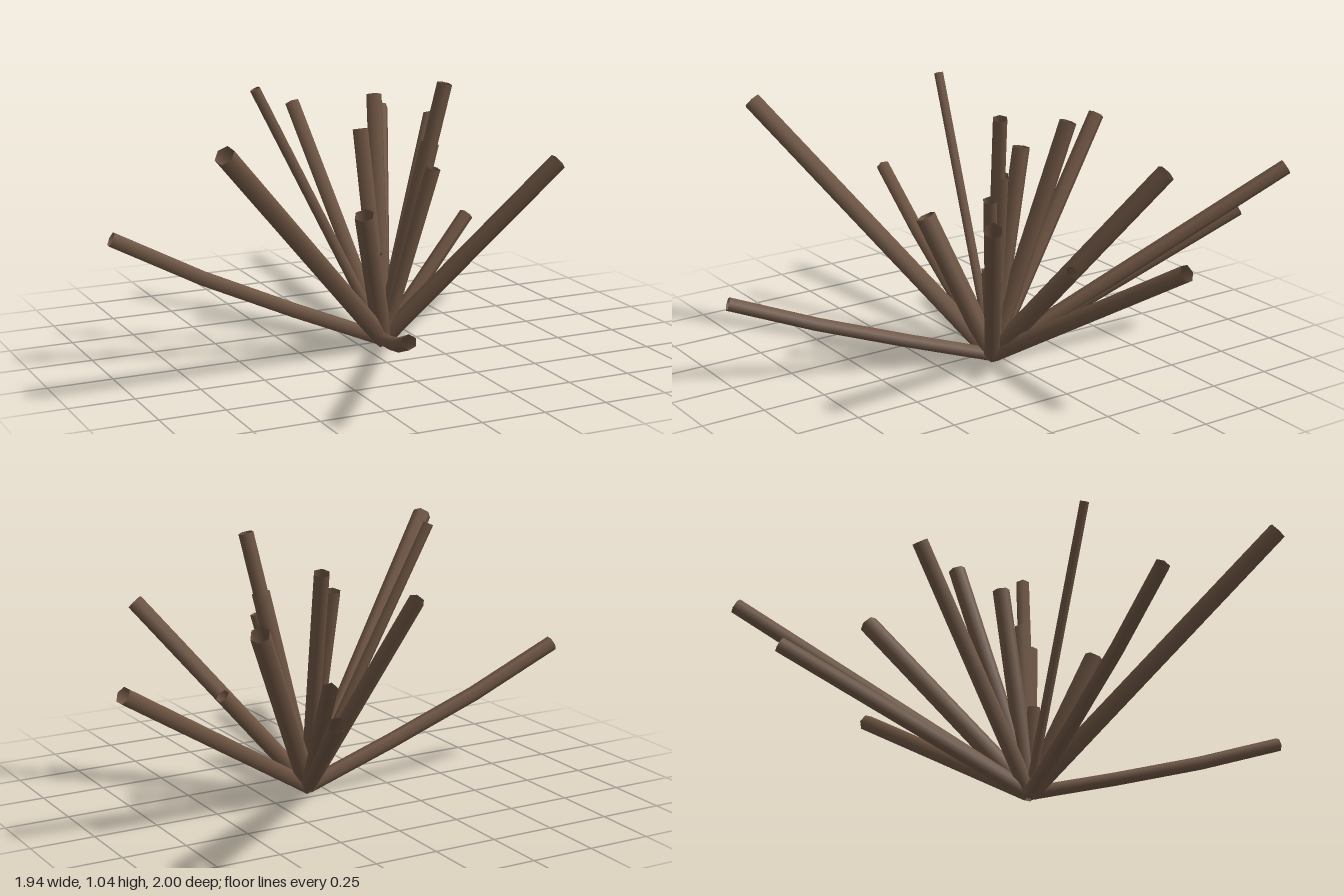
import * as THREE from 'three';

// Twigs: [radius, tip, optional bend point]
const TWIGS = [
  [0.03, [-0.96, 0.5, -0.1], [-0.55, 0.29, -0.04]],
  [0.038, [-0.78, 0.93, 0.6]],
  [0.02, [-0.41, 1.03, -0.03]],
  [0.031, [-0.045, 0.87, -0.53]],
  [0.033, [0.055, 0.83, -0.1]],
  [0.033, [0.175, 0.935, -0.23]],
  [0.029, [0.285, 1.03, 0.155]],
  [0.035, [0.24, 0.8, 0.125]],
  [0.028, [0.235, 0.71, 0.165]],
  [0.038, [0.53, 0.79, -0.42]],
  [0.034, [0.63, 0.75, 0.42]],
  [0.028, [0.485, 0.465, -0.03]],
  [0.034, [0.95, 0.57, -0.18]],
  [0.039, [-0.09, 0.575, 0.24]],
  [0.027, [-0.28, 0.32, 0.99], [-0.14, 0.185, 0.61]],
  [0.027, [0.05, 0.365, 0.05]],
  [0.03, [0.57, 0.73, -0.98]],
  [0.03, [0.46, 0.56, -0.84]],
];

export function createModel() {
  const group = new THREE.Group();
  group.name = 'twigCluster';
  const bark = new THREE.MeshStandardMaterial({ color: 0x6e5543, side: THREE.DoubleSide });
  bark.name = 'bark brown';
  const root = new THREE.Vector3(0.08, 0.025, 0.05);

  // Every twig is an open six-sided tube growing from the shared root
  TWIGS.forEach(([radius, tip, bend], i) => {
    const end = new THREE.Vector3(...tip);
    const middle = bend ? new THREE.Vector3(...bend) : root.clone().lerp(end, 0.5);
    const path = new THREE.CatmullRomCurve3([root, middle, end]);
    const twig = new THREE.Mesh(new THREE.TubeGeometry(path, bend ? 3 : 2, radius, 6), bark);
    twig.name = `twig${i + 1}`;
    group.add(twig);
  });
  return group;
}
